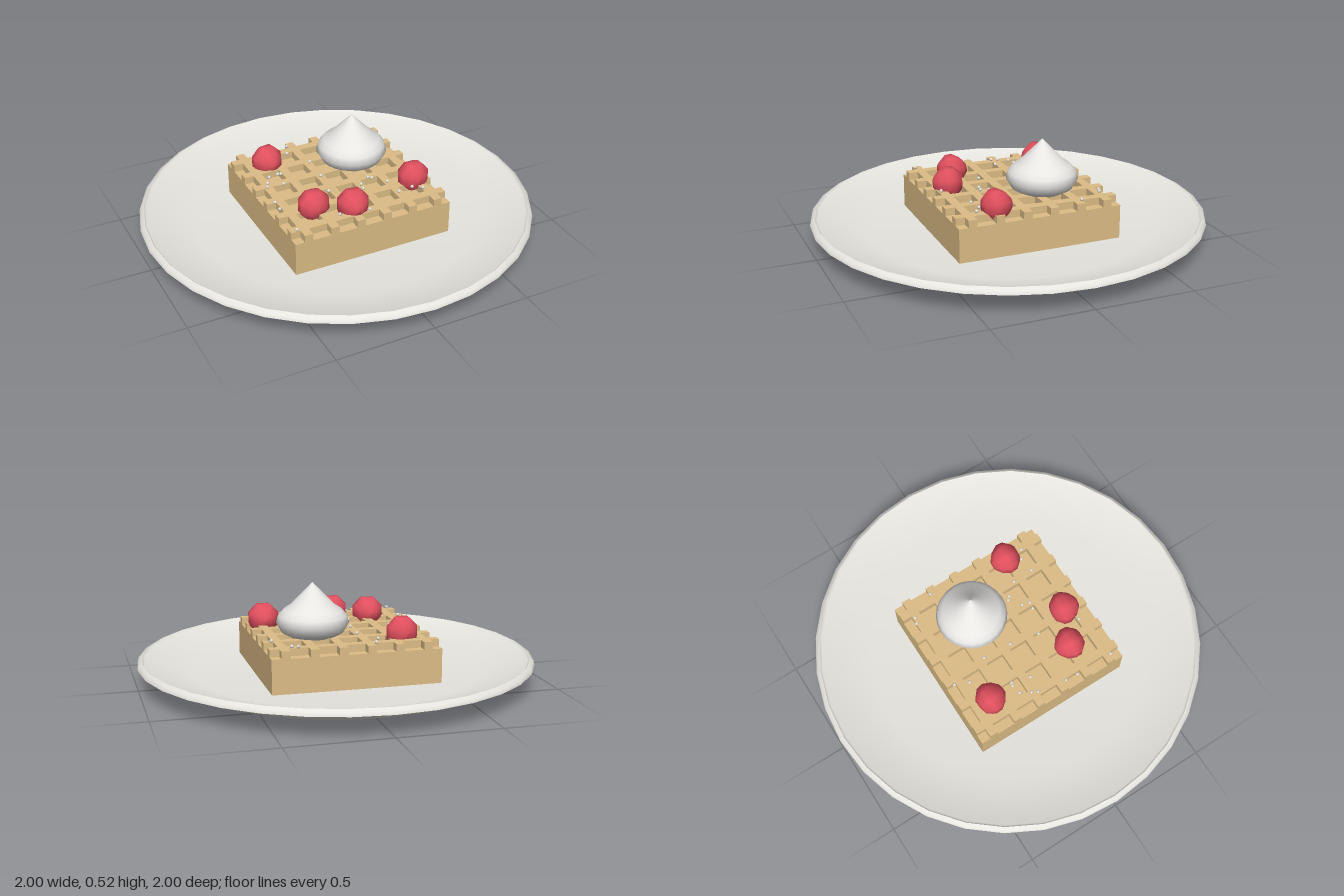
import * as THREE from 'three';

const mat = (name, color, side = THREE.FrontSide) => {
  const m = new THREE.MeshStandardMaterial({ color, side });
  m.name = name;
  return m;
};

// Lathe from [radius, y] pairs; profiles run from the bottom upwards
const lathe = (points, segments) =>
  new THREE.LatheGeometry(points.map(([r, y]) => new THREE.Vector2(r, y)), segments);

export function createModel() {
  const china = mat('china white', 0xeae8e2, THREE.DoubleSide);
  const batter = mat('waffle tan', 0xdcbd86);
  const creamWhite = mat('cream white', 0xf2f1ee);
  const red = mat('berry red', 0xe2505f);

  const model = new THREE.Group();
  model.name = 'waffleDessert';
  const add = (parent, name, geometry, material, x = 0, y = 0, z = 0) => {
    const mesh = new THREE.Mesh(geometry, material);
    mesh.name = name;
    mesh.position.set(x, y, z);
    parent.add(mesh);
    return mesh;
  };
  const addGroup = (name) => {
    const g = new THREE.Group();
    g.name = name;
    model.add(g);
    return g;
  };

  // Plate: separate bands keep its edges sharp
  const plate = addGroup('plate');
  const bands = {
    plateFoot: [[0, 0], [0.72, 0]],
    plateUnderside: [[0.72, 0], [0.85, 0.045], [1, 0.103]],
    plateLip: [[1, 0.103], [0.995, 0.12], [0.975, 0.132]],
    plateTop: [[0.975, 0.132], [0.965, 0.122], [0.72, 0.055], [0, 0.05]],
  };
  for (const [name, points] of Object.entries(bands)) {
    add(plate, name, lathe(points, 32), china).rotation.y = Math.PI / 2;
  }

  // Waffle: solid base with crossing ribs that run out to open edges
  const waffle = addGroup('waffle');
  add(waffle, 'waffleBase', new THREE.BoxGeometry(0.84, 0.175, 0.84), batter, 0, 0.1375, 0);
  const pitch = 0.14, ribWidth = 0.044, ribHeight = 0.037, ribY = 0.2435;
  for (let i = 0; i < 6; i++) {
    const p = (i - 2.5) * pitch;
    add(waffle, 'longRib', new THREE.BoxGeometry(ribWidth, ribHeight, 0.84), batter, p, ribY, 0);
    // short pieces fill the gaps between the long ribs
    for (let j = 0; j < 7; j++) {
      const from = j === 0 ? -0.42 : (j - 3.5) * pitch + ribWidth / 2;
      const to = j === 6 ? 0.42 : (j - 2.5) * pitch - ribWidth / 2;
      add(waffle, 'crossRib', new THREE.BoxGeometry(to - from, ribHeight, ribWidth), batter,
        (from + to) / 2, ribY, p);
    }
  }

  // Whipped cream: squashed dollop drawn up to a point
  const cream = [[0, 0.24], [0.1, 0.25], [0.155, 0.28], [0.18, 0.325], [0.17, 0.36],
    [0.145, 0.388], [0.11, 0.412], [0.055, 0.468], [0, 0.525]];
  add(model, 'whippedCream', lathe(cream, 24), creamWhite, 0.15, 0, -0.12);

  // Berries: blunt cones lying on their side, tip along the turned z axis
  const berryShape = lathe([[0, -0.075], [0.045, -0.068], [0.08, -0.03], [0.083, 0.005],
    [0.06, 0.045], [0.028, 0.07], [0, 0.075]], 8);
  berryShape.rotateY(Math.PI / 8).rotateX(Math.PI / 2);
  const berries = addGroup('berries');
  for (const [x, z, turn] of [[-0.26, -0.265, 0.15], [-0.232, 0.215, Math.PI],
    [-0.058, 0.305, -0.15], [0.332, 0.195, Math.PI]]) {
    add(berries, 'berry', berryShape, red, x, 0.285, z).rotation.y = turn;
  }

  // Sugar grains: [x, z] pairs scattered over the waffle
  const grains = [[-0.1, -0.38], [0.28, -0.37], [0.31, -0.36], [-0.13, -0.31], [0.38, -0.23],
    [-0.31, -0.13], [-0.26, -0.14], [-0.245, -0.135], [-0.34, -0.08], [-0.355, -0.05],
    [-0.27, -0.04], [-0.06, -0.18], [-0.07, -0.03], [-0.38, 0.1], [-0.385, 0.165],
    [-0.385, 0.365], [-0.1, 0.12], [0.03, 0.17], [0.065, 0.175], [0.075, 0.135],
    [0.135, 0.09], [0.15, 0.105], [0.205, 0.17], [0.21, 0.28], [-0.145, 0.335],
    [0.005, 0.36], [0.29, 0.27], [0.335, 0.3]];
  const sugar = addGroup('sugar');
  const grain = new THREE.SphereGeometry(0.009, 6, 4);
  for (const [x, z] of grains) add(sugar, 'sugarGrain', grain, creamWhite, x, 0.269, z);

  return model;
}
